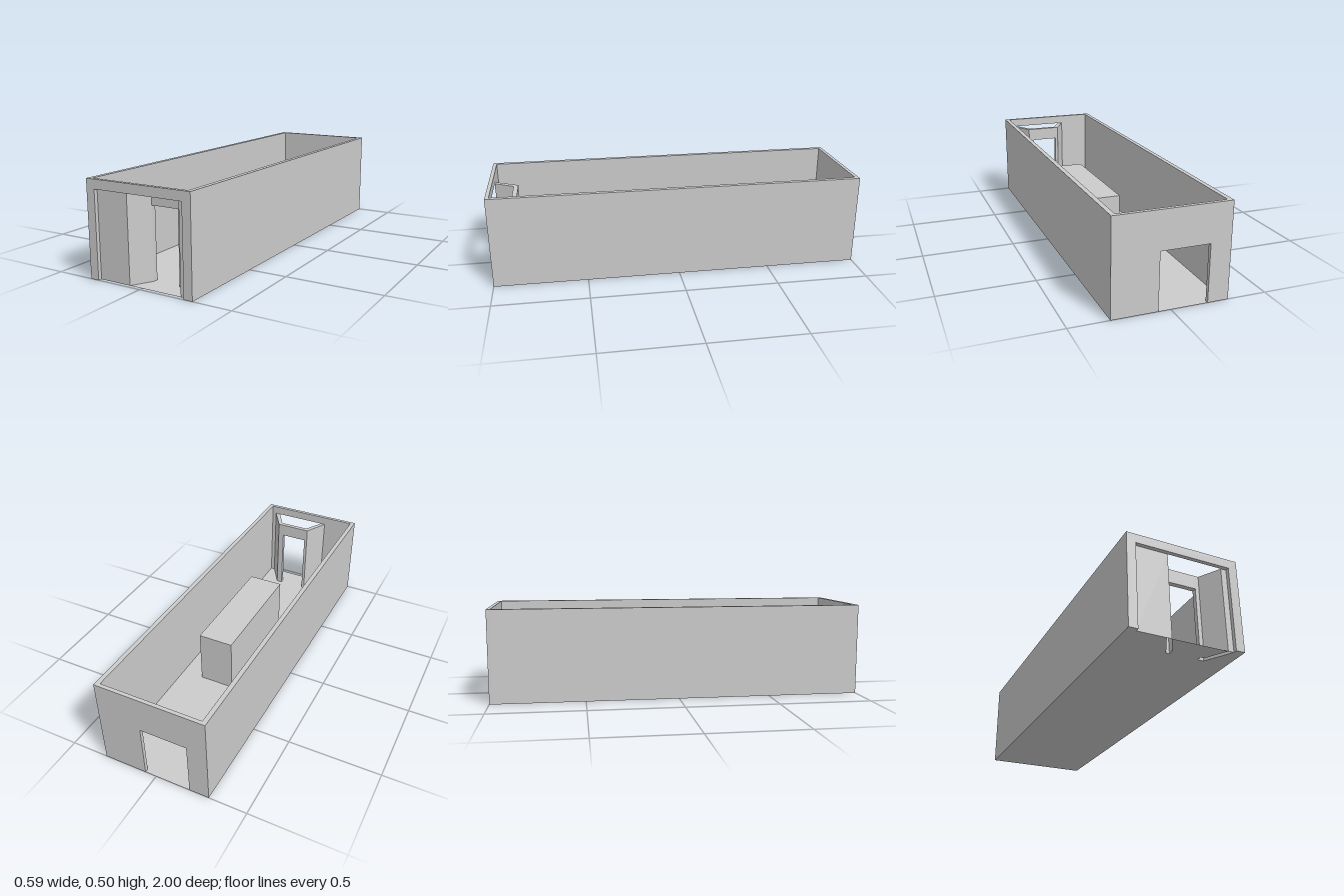
import * as THREE from 'three';

const X = 0.297, H = 0.495;         // outer half width, wall height
const IX = 0.273, IZ = 0.98;        // inner half width and half length
const OPEN = 0.25, PORCH = 0.447;   // front opening half width, entrance height
const DOOR = { x0: -0.013, x1: 0.137, top: 0.373 };

// Footprints [x, z] of the two splayed entrance walls
const rightFoot = [[-0.1, IZ], [-0.03, 0.85], [DOOR.x0, 0.85], [DOOR.x0, 0.875], [-0.073, IZ]];
const leftFoot = [[0.22, IZ], [0.158, 0.875], [DOOR.x1, 0.875], [DOOR.x1, 0.85], [0.17, 0.85], [OPEN, IZ]];

const solid = new THREE.MeshStandardMaterial({ color: 0xcccccc, flatShading: true });
const sheet = new THREE.MeshStandardMaterial({ color: 0xcccccc, flatShading: true, side: THREE.DoubleSide });

function add(parent, name, geometry, material = solid) {
  const mesh = new THREE.Mesh(geometry, material);
  mesh.name = name;
  parent.add(mesh);
  return mesh;
}

function box(parent, name, x0, x1, y0, y1, z0, z1) {
  const mesh = add(parent, name, new THREE.BoxGeometry(x1 - x0, y1 - y0, z1 - z0));
  mesh.position.set((x0 + x1) / 2, (y0 + y1) / 2, (z0 + z1) / 2);
}

// End wall with an opening that reaches the ground
function endWall(parent, name, x0, x1, top, z) {
  const outline = [[-X, 0], [x0, 0], [x0, top], [x1, top], [x1, 0], [X, 0], [X, H], [-X, H]];
  const shape = new THREE.Shape(outline.map(([x, y]) => new THREE.Vector2(x, y)));
  const depth = 1 - IZ;
  add(parent, name, new THREE.ExtrudeGeometry(shape, { depth, bevelEnabled: false })).position.z = z;
}

// Flat horizontal sheet from [x, z] points
function flat(parent, name, points, y) {
  const shape = new THREE.Shape(points.map(([x, z]) => new THREE.Vector2(x, -z)));
  add(parent, name, new THREE.ShapeGeometry(shape).rotateX(-Math.PI / 2), sheet).position.y = y;
}

// Upright sheet between two [x, z] points
function upright(parent, name, a, b) {
  const dx = b[0] - a[0], dz = b[1] - a[1];
  const mesh = add(parent, name, new THREE.PlaneGeometry(Math.hypot(dx, dz), PORCH), sheet);
  mesh.position.set((a[0] + b[0]) / 2, PORCH / 2, (a[1] + b[1]) / 2);
  mesh.rotation.y = -Math.atan2(dz, dx);
}

// Hollow entrance wall: sides and top, open underneath
function porchWall(parent, name, foot) {
  const wall = new THREE.Group();
  wall.name = name;
  for (let i = 0; i < foot.length - 1; i++) upright(wall, 'wallFace', foot[i + 1], foot[i]);
  flat(wall, 'wallTop', foot, PORCH);
  parent.add(wall);
}

export function createModel() {
  const model = new THREE.Group();
  model.name = 'shopRoom';

  // Outer walls
  box(model, 'leftWall', IX, X, 0, H, -IZ, IZ);
  box(model, 'rightWall', -X, -IX, 0, H, -IZ, IZ);
  endWall(model, 'frontWall', -OPEN, OPEN, PORCH, IZ);
  endWall(model, 'backWall', -0.19, 0.062, 0.298, -1);

  // Floor, cut back at the front opening and around the entrance walls
  flat(model, 'floor', [
    [-X, -1], [-X, 1], [-OPEN, 1], [-OPEN, IZ],
    ...rightFoot, ...leftFoot,
    [OPEN, 1], [X, 1], [X, -1],
  ], 0);

  // Recessed front panels beside the entrance
  upright(model, 'rightFrontPanel', [-OPEN, IZ], [-0.073, IZ]);
  upright(model, 'leftFrontPanel', [0.22, IZ], [OPEN, IZ]);

  // Splayed entrance with a doorway
  const porch = new THREE.Group();
  porch.name = 'entrance';
  porchWall(porch, 'rightEntranceWall', rightFoot);
  porchWall(porch, 'leftEntranceWall', leftFoot);
  box(porch, 'doorHeader', DOOR.x0, DOOR.x1, DOOR.top, PORCH, 0.85, 0.875);
  model.add(porch);

  // Long counter in the middle of the room
  box(model, 'counter', -0.042, 0.153, 0, 0.308, -0.26, 0.4);

  return model;
}
